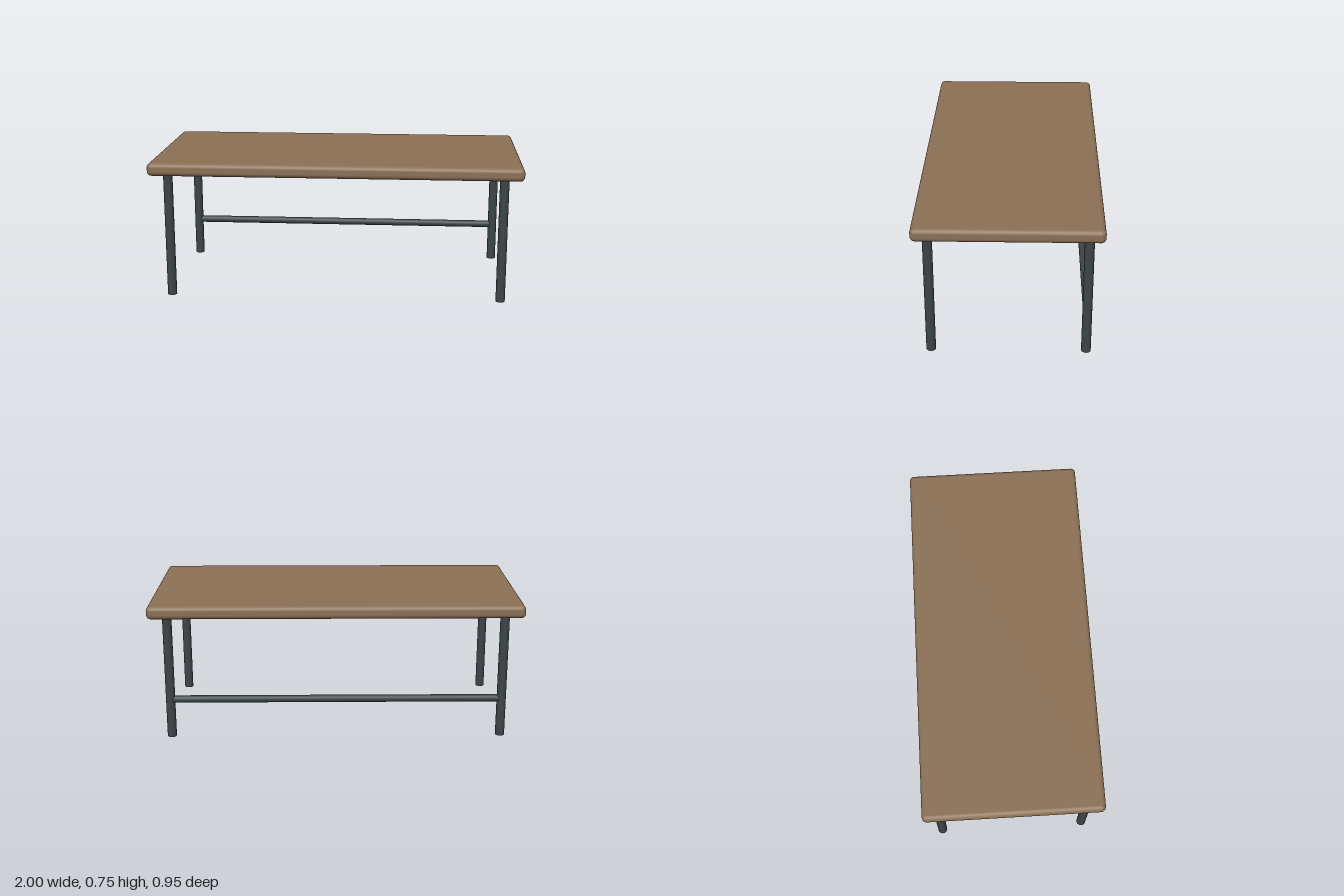
import * as THREE from 'three';
import { RoundedBoxGeometry } from 'three/addons/geometries/RoundedBoxGeometry.js';

const TOP_Y = 0.75, TOP_THICK = 0.07;
const LEG_X = 0.9, LEG_Z = 0.4, LEG_R = 0.025;

export function createModel() {
  const group = new THREE.Group();
  group.name = 'table';
  const wood = new THREE.MeshStandardMaterial({ color: 0x8b7055 });
  const metal = new THREE.MeshStandardMaterial({ color: 0x3c4548 });

  const add = (name, geometry, material, x, y, z) => {
    const mesh = new THREE.Mesh(geometry, material);
    mesh.name = name;
    mesh.position.set(x, y, z);
    group.add(mesh);
    return mesh;
  };

  // Wooden slab with softly rounded edges
  add('tableTop', new RoundedBoxGeometry(2, TOP_THICK, 0.95, 5, 0.025), wood,
    0, TOP_Y - TOP_THICK / 2, 0);

  // Four round legs, ending just inside the slab
  const legHeight = TOP_Y - TOP_THICK + 0.005;
  const legGeometry = new THREE.CylinderGeometry(LEG_R, LEG_R, legHeight, 24);
  for (const [side, x] of [['Left', LEG_X], ['Right', -LEG_X]]) {
    for (const [end, z] of [['front', LEG_Z], ['back', -LEG_Z]]) {
      add(`${end}${side}Leg`, legGeometry, metal, x, legHeight / 2, z);
    }
  }

  // Stretcher bar joining the two back legs
  const bar = add('backStretcher', new THREE.CylinderGeometry(0.02, 0.02, LEG_X * 2, 24),
    metal, 0, 0.213, -LEG_Z);
  bar.rotation.z = Math.PI / 2;

  return group;
}
